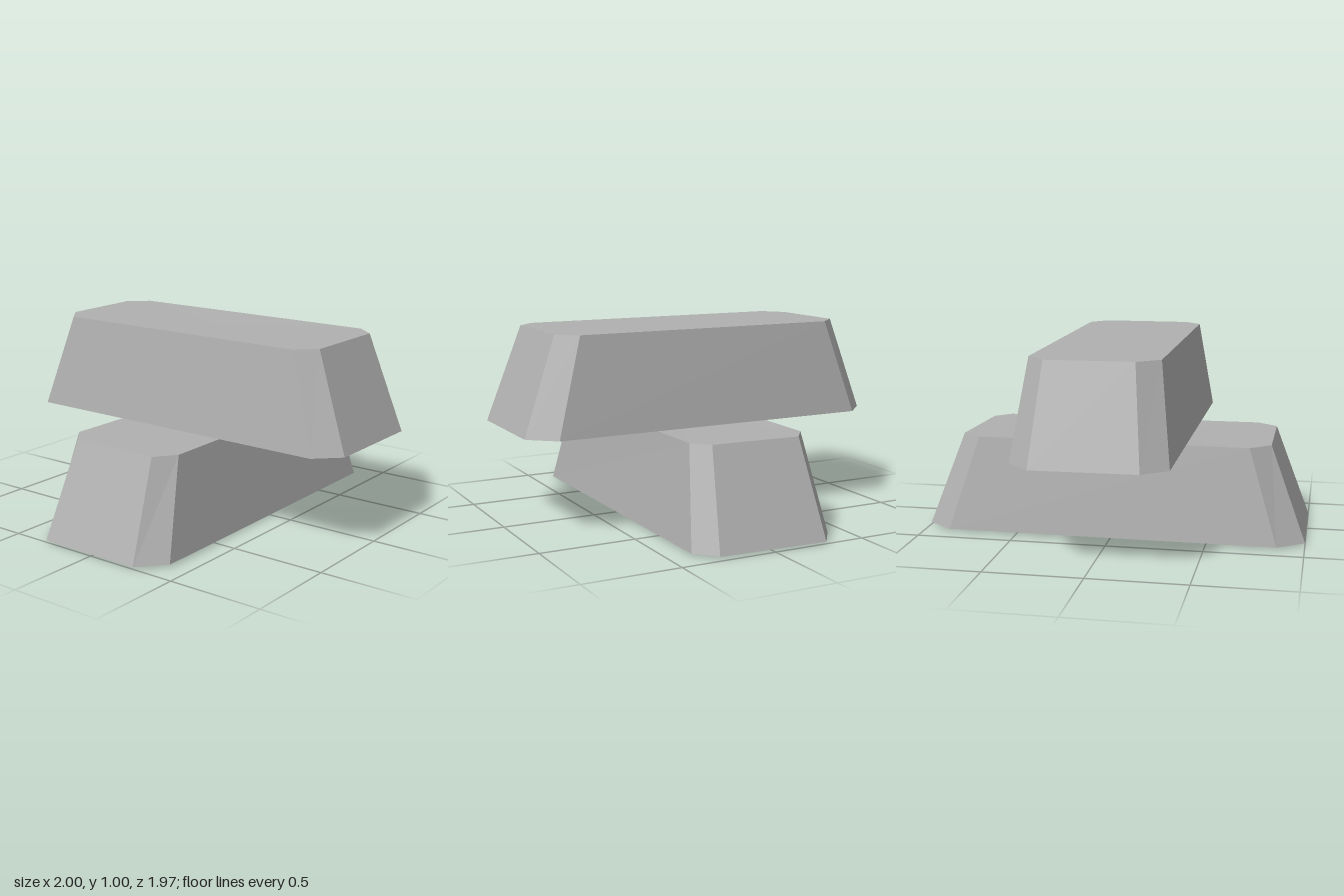
import * as THREE from 'three';

// Tapered bar with cut corners: a bottom and a top octagon of [x, z] corners,
// joined by flat sides and closed by fans around slightly offset centres.
function ingotGeometry(bottom, top, y0, y1, centre0, centre1) {
  const pos = [];
  const low = bottom.map(([x, z]) => [x, y0, z]);
  const high = top.map(([x, z]) => [x, y1, z]);
  const tri = (a, b, c) => pos.push(...a, ...b, ...c);
  for (let i = 0; i < low.length; i++) {
    const j = (i + 1) % low.length;
    tri(low[i], low[j], high[j]);
    tri(low[i], high[j], high[i]);
    tri([0, centre1, 0], high[i], high[j]);
    tri([0, centre0, 0], low[j], low[i]);
  }
  const geometry = new THREE.BufferGeometry();
  geometry.setAttribute('position', new THREE.Float32BufferAttribute(pos, 3));
  geometry.computeVertexNormals();
  return geometry;
}

export function createModel() {
  const group = new THREE.Group();
  const metal = new THREE.MeshStandardMaterial({ color: 0xb0b0b0, flatShading: true });
  metal.name = 'grey metal';

  const add = (name, ...args) => {
    const mesh = new THREE.Mesh(ingotGeometry(...args), metal);
    mesh.name = name;
    group.add(mesh);
  };

  // Lower bar lies along x; corners run from front left round to the back
  add('lowerIngot',
    [[-0.87, 0.39], [0.865, 0.38], [0.97, 0.285], [1, -0.29],
      [0.865, -0.39], [-0.86, -0.4], [-1, -0.3], [-1, 0.27]],
    [[-0.71, 0.32], [0.71, 0.31], [0.79, 0.23], [0.815, -0.24],
      [0.71, -0.32], [-0.71, -0.33], [-0.815, -0.24], [-0.815, 0.24]],
    0.01, 0.502, 0, 0.495);

  // Upper bar lies across it, along z
  add('upperIngot',
    [[-0.28, 0.98], [0.285, 0.98], [0.4, 0.845], [0.39, -0.87],
      [0.27, -0.99], [-0.26, -0.98], [-0.385, -0.88], [-0.395, 0.86]],
    [[-0.235, 0.8], [0.24, 0.8], [0.325, 0.7], [0.325, -0.72],
      [0.23, -0.82], [-0.21, -0.81], [-0.32, -0.72], [-0.325, 0.71]],
    0.505, 0.998, 0.505, 0.993);

  return group;
}
